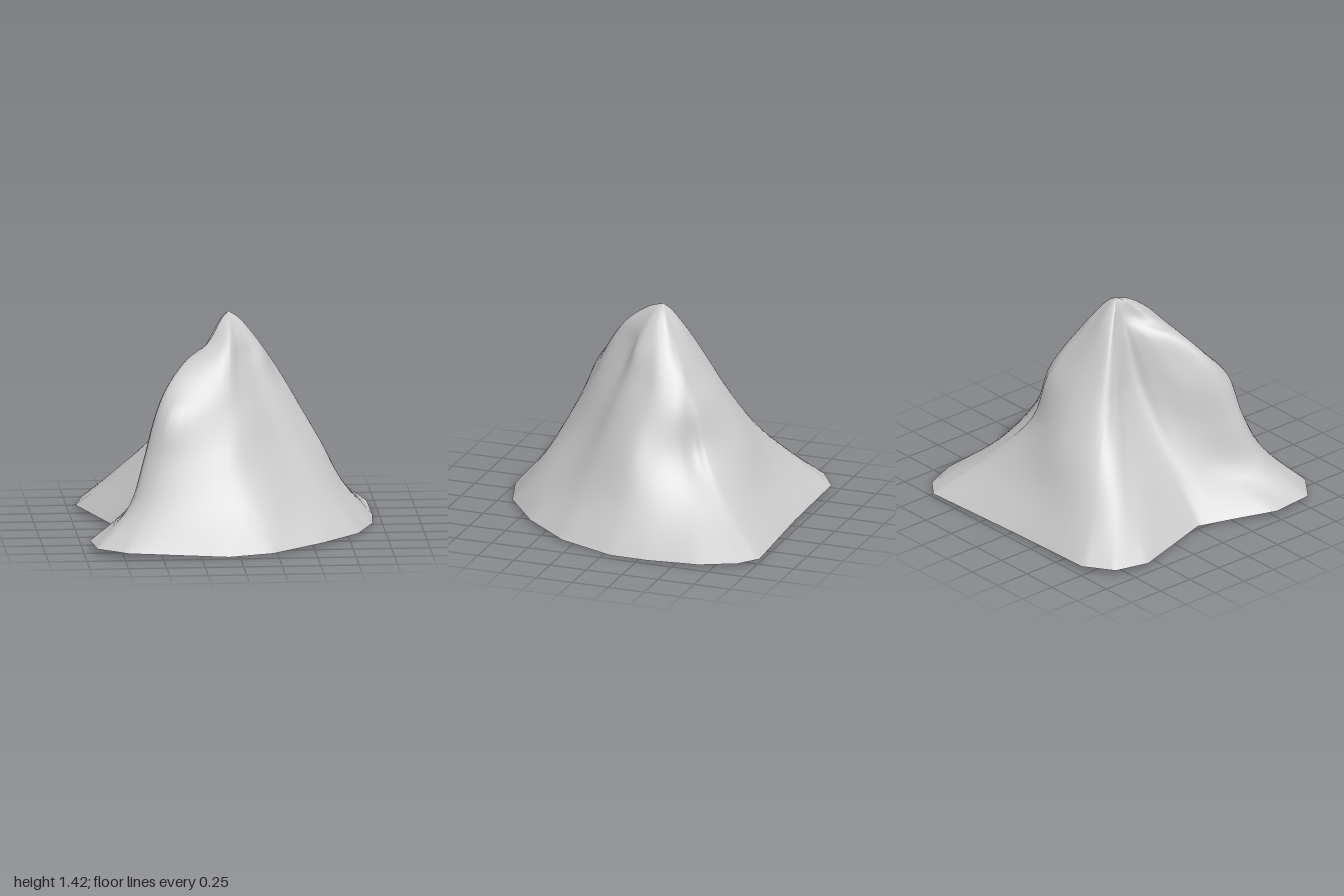
import * as THREE from 'three';

// Heights of the contours, from rim to just below the tip
const HEIGHTS = [0, 0.27, 0.55, 0.83, 1.0, 1.15, 1.27];
const TIP = new THREE.Vector3(0, 1.42, -0.06);
const CENTRE_Z = -0.05;

// Each fold: angle in degrees (0 = +x, 90 = +z), then its radius at every height
const FOLDS = [
  [0, 0.94, 0.74, 0.60, 0.43, 0.32, 0.24, 0.16],
  [25, 0.90, 0.70, 0.54, 0.39, 0.30, 0.24, 0.16],
  [51, 0.90, 0.68, 0.50, 0.36, 0.27, 0.20, 0.15],
  [77, 0.98, 0.78, 0.58, 0.43, 0.33, 0.24, 0.18],
  [94, 1.05, 0.83, 0.66, 0.50, 0.42, 0.34, 0.25],
  [126, 1.23, 0.96, 0.81, 0.72, 0.56, 0.40, 0.22],
  [137, 1.25, 0.94, 0.81, 0.70, 0.59, 0.41, 0.13],
  [149, 1.10, 0.72, 0.58, 0.49, 0.38, 0.26, 0.09],
  [162, 0.87, 0.61, 0.43, 0.29, 0.22, 0.15, 0.07],
  [176, 0.75, 0.55, 0.35, 0.20, 0.14, 0.10, 0.06],
  [210, 1.10, 0.78, 0.46, 0.26, 0.19, 0.13, 0.08],
  [221, 1.19, 0.89, 0.57, 0.34, 0.25, 0.17, 0.10],
  [232, 1.15, 0.87, 0.61, 0.41, 0.31, 0.22, 0.14],
  [265, 0.90, 0.70, 0.57, 0.41, 0.30, 0.21, 0.14],
  [307, 1.19, 0.83, 0.55, 0.45, 0.34, 0.23, 0.14],
  [315, 1.20, 0.82, 0.52, 0.45, 0.36, 0.24, 0.15],
  [327, 1.13, 0.79, 0.55, 0.46, 0.36, 0.25, 0.16],
  [345, 0.99, 0.76, 0.58, 0.45, 0.35, 0.25, 0.16],
];
const SUB = 5;             // samples between folds
const ROWS = 40;           // samples from rim to tip
const COLS = FOLDS.length * SUB;

// One closed contour: straight-edged at the rim, smooth above it
function contour(level, radiusScale, y) {
  const points = FOLDS.map((fold) => {
    const a = THREE.MathUtils.degToRad(fold[0]);
    const r = fold[level + 1] * radiusScale;
    const rimLift = level === 0 ? 0.01 * (2 - Math.cos(a) - Math.cos(4 * a)) : 0;
    return new THREE.Vector3(Math.cos(a) * r, y + rimLift, CENTRE_Z + Math.sin(a) * r);
  });
  const smooth = new THREE.CatmullRomCurve3(points, true);
  return Array.from({ length: COLS }, (_, c) => {
    const i = Math.floor(c / SUB);
    return level === 0
      ? points[i].clone().lerp(points[(i + 1) % points.length], (c % SUB) / SUB)
      : smooth.getPoint(c / COLS);
  });
}

// Open shell lofted through the contours up to one shared tip vertex
function drapeGeometry() {
  const rings = HEIGHTS.map((y, level) => contour(level, 1, y));
  rings.push(contour(HEIGHTS.length - 1, 0.4, 1.38));
  const columns = Array.from({ length: COLS }, (_, c) =>
    new THREE.CatmullRomCurve3([...rings.map((ring) => ring[c]), TIP]));

  const positions = [];
  const indices = [];
  for (let r = 0; r < ROWS; r++) {
    for (const column of columns) positions.push(...column.getPoint(r / ROWS).toArray());
  }
  const tip = ROWS * COLS;
  positions.push(...TIP.toArray());

  for (let r = 0; r < ROWS; r++) {
    for (let c = 0; c < COLS; c++) {
      const next = (c + 1) % COLS;
      const a = r * COLS + c;
      const b = r * COLS + next;
      if (r === ROWS - 1) indices.push(a, tip, b);
      else indices.push(a, a + COLS, b, b, a + COLS, b + COLS);
    }
  }
  const geometry = new THREE.BufferGeometry();
  geometry.setAttribute('position', new THREE.Float32BufferAttribute(positions, 3));
  geometry.setIndex(indices);
  geometry.computeVertexNormals();
  return geometry;
}

export function createModel() {
  const group = new THREE.Group();
  group.name = 'drapedPeak';
  const material = new THREE.MeshStandardMaterial({ color: 0xcccccc, side: THREE.DoubleSide });
  const drape = new THREE.Mesh(drapeGeometry(), material);
  drape.name = 'drape';
  group.add(drape);
  return group;
}
